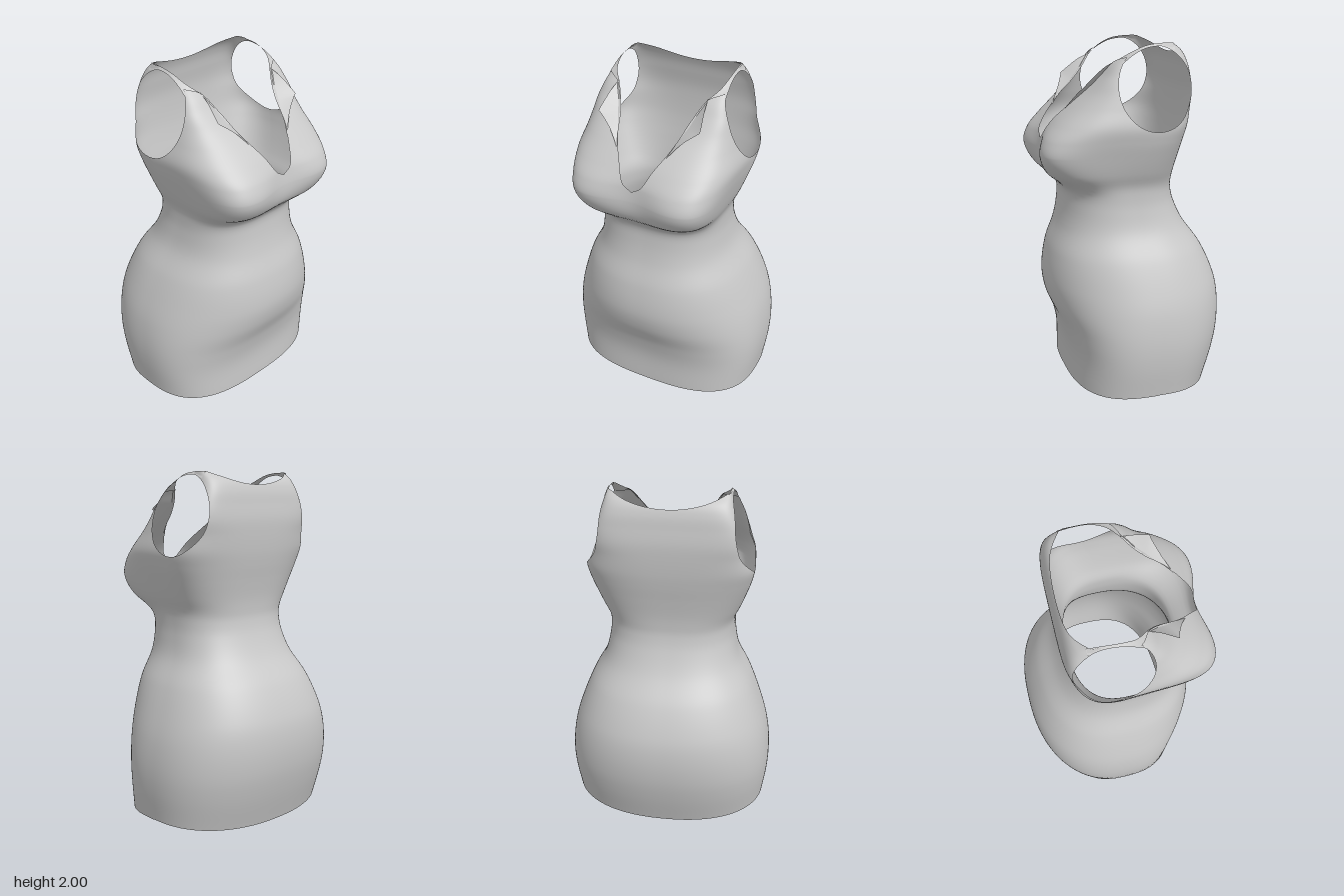
import * as THREE from 'three';
import { mergeVertices } from 'three/addons/utils/BufferGeometryUtils.js';

// Body sections: y, half width, front z, back z, z of widest point, front and back squareness
const SECTIONS = [
  [0.00, 0.590, 0.38, -0.45, -0.04, 2.9, 2.4],
  [0.20, 0.612, 0.38, -0.51, -0.04, 2.8, 2.4],
  [0.35, 0.614, 0.41, -0.54, -0.04, 2.6, 2.4],
  [0.50, 0.594, 0.47, -0.545, -0.04, 2.3, 2.4],
  [0.63, 0.556, 0.49, -0.522, -0.04, 2.25, 2.4],
  [0.80, 0.487, 0.465, -0.445, -0.03, 2.4, 2.4],
  [0.95, 0.405, 0.413, -0.337, 0.00, 2.5, 2.45],
  [1.08, 0.374, 0.387, -0.275, 0.03, 2.6, 2.5],
  [1.17, 0.369, 0.388, -0.252, 0.04, 2.8, 2.6],
  [1.22, 0.375, 0.430, -0.251, 0.04, 3.3, 2.7],
  [1.29, 0.405, 0.510, -0.256, 0.03, 4.6, 2.8],
  [1.39, 0.440, 0.553, -0.272, 0.00, 5.6, 2.9],
  [1.48, 0.466, 0.530, -0.289, -0.03, 4.8, 3.0],
  [1.56, 0.476, 0.465, -0.301, -0.05, 4.1, 3.3],
  [1.66, 0.450, 0.365, -0.309, -0.06, 3.9, 4.0],
  [1.74, 0.427, 0.28, -0.310, -0.07, 4.6, 5.2],
  [1.82, 0.400, 0.205, -0.30, -0.08, 6.5, 6.3],
  [1.90, 0.368, 0.14, -0.285, -0.09, 8.0, 6.5],
  [1.96, 0.346, 0.06, -0.255, -0.10, 8.0, 6.0],
  [2.00, 0.333, -0.06, -0.20, -0.12, 8.0, 6.0],
];

// Neckline: y, half width of the opening (it passes the sides where the straps take over)
const NECK = [[1.36, -0.12], [1.46, 0], [1.49, 0.05], [1.58, 0.10], [1.66, 0.15],
  [1.72, 0.18], [1.80, 0.212], [1.90, 0.268], [1.92, 0.31], [1.95, 0.42], [2.0, 0.5]];

// Smooth interpolation of a column in a table keyed by its first column
function sample(table, y, col) {
  let i = 0;
  while (i < table.length - 2 && y > table[i + 1][0]) i++;
  const slope = (k) => {
    const a = table[Math.max(k - 1, 0)], b = table[Math.min(k + 1, table.length - 1)];
    return (b[col] - a[col]) / (b[0] - a[0]);
  };
  const a = table[i], b = table[i + 1], h = b[0] - a[0];
  const t = Math.min(Math.max((y - a[0]) / h, 0), 1), t2 = t * t, t3 = t2 * t;
  return (2 * t3 - 3 * t2 + 1) * a[col] + (t3 - 2 * t2 + t) * h * slope(i)
    + (3 * t2 - 2 * t3) * b[col] + (t3 - t2) * h * slope(i + 1);
}

// Point on the garment surface
function bodyPoint(angle, y) {
  const [w, zf, zb, zc, pf, pb] = [1, 2, 3, 4, 5, 6].map((c) => sample(SECTIONS, y, c));
  const c = Math.cos(angle), s = Math.sin(angle);
  const p = s > 0 ? pf : pb;
  const r = Math.pow(Math.pow(Math.abs(c), p) + Math.pow(Math.abs(s), p), -1 / p);
  let x = w * c * r;
  let z = zc + s * r * (s > 0 ? zf - zc : zc - zb);
  if (s > 0) {
    // The chest narrows towards the front, with a shallow valley between the bust halves
    x *= 1 - 0.06 * s * r * Math.exp(-(((y - 1.45) / 0.15) ** 2));
    z -= 0.05 * Math.exp(-((x / 0.17) ** 2) - ((y - 1.42) / 0.13) ** 2) * s;
  }
  // Hem rises at the sides
  const hem = 0.034 * c * c + (s > 0 ? 0.016 * s * s : 0.002);
  return { x, y: y + hem * Math.max(0, 1 - y / 0.3), z, front: s > 0 };
}

// Positive where cloth remains
function armhole(p) {
  if (Math.abs(p.x) < 0.2) return 1;
  return ((p.z + 0.065) / 0.212) ** 2 + ((p.y - 1.764) / 0.226) ** 2 - 1;
}
function neckline(p) {
  if (p.front) return Math.abs(p.x) - sample(NECK, p.y, 1);
  return 1.93 + 0.075 * Math.min(Math.abs(p.x) / 0.325, 1) ** 2 - p.y;
}

// Cut a polygon along the zero line of one field
function clip(poly, key) {
  const out = [];
  poly.forEach((a, i) => {
    const b = poly[(i + 1) % poly.length], fa = a[key], fb = b[key];
    if (fa >= 0) out.push(a);
    if ((fa >= 0) !== (fb >= 0)) {
      const t = fa / (fa - fb), q = {};
      for (const k of ['x', 'y', 'z', 'arm', 'neck']) q[k] = a[k] + (b[k] - a[k]) * t;
      out.push(q);
    }
  });
  return out;
}

function bodyGeometry() {
  const COLS = 240, ROWS = 150, grid = [], pos = [];
  for (let j = 0; j <= ROWS; j++) {
    const row = [];
    // Rows are denser above the bust
    const y = j < 70 ? 1.4 * j / 70 : 1.4 + 0.6 * (j - 70) / (ROWS - 70);
    for (let i = 0; i < COLS; i++) {
      const p = bodyPoint((i / COLS) * Math.PI * 2, y);
      p.arm = armhole(p);
      p.neck = neckline(p);
      row.push(p);
    }
    grid.push(row);
  }
  for (let j = 0; j < ROWS; j++) {
    for (let i = 0; i < COLS; i++) {
      const k = (i + 1) % COLS;
      const quad = [grid[j][i], grid[j + 1][i], grid[j + 1][k], grid[j][k]];
      for (const tri of [[quad[0], quad[1], quad[2]], [quad[0], quad[2], quad[3]]]) {
        const poly = clip(clip(tri, 'arm'), 'neck');
        for (let n = 1; n + 1 < poly.length; n++) {
          for (const q of [poly[0], poly[n], poly[n + 1]]) pos.push(q.x, q.y, q.z);
        }
      }
    }
  }
  const geo = new THREE.BufferGeometry();
  geo.setAttribute('position', new THREE.Float32BufferAttribute(pos, 3));
  const merged = mergeVertices(geo, 1e-5);
  merged.computeVertexNormals();
  return merged;
}

// Sheet of cloth between two edge curves, for the given side (1 left, -1 right)
function sheetGeometry(inner, outer, side) {
  const curve = (pts) => new THREE.CatmullRomCurve3(
    pts.map(([x, y, z]) => new THREE.Vector3(x * side, y, z)), false, 'centripetal');
  const a = curve(inner), b = curve(outer);
  const N = 40, M = 6, pos = [], idx = [];
  for (let i = 0; i <= N; i++) {
    const pa = a.getPointAt(i / N), pb = b.getPointAt(i / N);
    for (let j = 0; j <= M; j++) {
      pos.push(...pa.clone().lerp(pb, j / M).toArray());
      if (i < N && j < M) {
        const k = i * (M + 1) + j, n = k + M + 1;
        if (side > 0) idx.push(k, n, k + 1, k + 1, n, n + 1);
        else idx.push(k, k + 1, n, k + 1, n + 1, n);
      }
    }
  }
  const geo = new THREE.BufferGeometry();
  geo.setAttribute('position', new THREE.Float32BufferAttribute(pos, 3));
  geo.setIndex(idx);
  geo.computeVertexNormals();
  return geo;
}

// Lapel: fold along the neckline, and free edge with a pointed corner
const LAPEL_FOLD = [[0.268, 1.905, 0.125], [0.225, 1.83, 0.185], [0.195, 1.76, 0.25],
  [0.168, 1.69, 0.33], [0.13, 1.62, 0.395]];
const LAPEL_EDGE = [[0.268, 1.905, 0.125], [0.281, 1.87, 0.195], [0.301, 1.796, 0.288],
  [0.302, 1.788, 0.298], [0.294, 1.782, 0.299], [0.215, 1.72, 0.335], [0.13, 1.62, 0.395]];

// Shoulder strap: neckline edge and armhole edge, from front to back
const STRAP_NECK = [[0.262, 1.895, 0.135], [0.312, 1.945, 0.065], [0.329, 1.985, -0.02],
  [0.328, 1.999, -0.11], [0.322, 1.998, -0.19]];
const STRAP_ARM = [[0.355, 1.89, 0.115], [0.350, 1.935, 0.055], [0.344, 1.972, -0.02],
  [0.342, 1.983, -0.11], [0.347, 1.962, -0.19]];

export function createModel() {
  const group = new THREE.Group();
  group.name = 'dress';
  const cloth = new THREE.MeshStandardMaterial({ color: 0xc8c8c8, side: THREE.DoubleSide });
  cloth.name = 'grey cloth';
  const add = (name, geo) => {
    const mesh = new THREE.Mesh(geo, cloth);
    mesh.name = name;
    group.add(mesh);
  };
  add('dressBody', bodyGeometry());
  for (const [label, side] of [['left', 1], ['right', -1]]) {
    add(label + 'Lapel', sheetGeometry(LAPEL_FOLD, LAPEL_EDGE, side));
    add(label + 'Strap', sheetGeometry(STRAP_NECK, STRAP_ARM, side));
  }
  return group;
}
